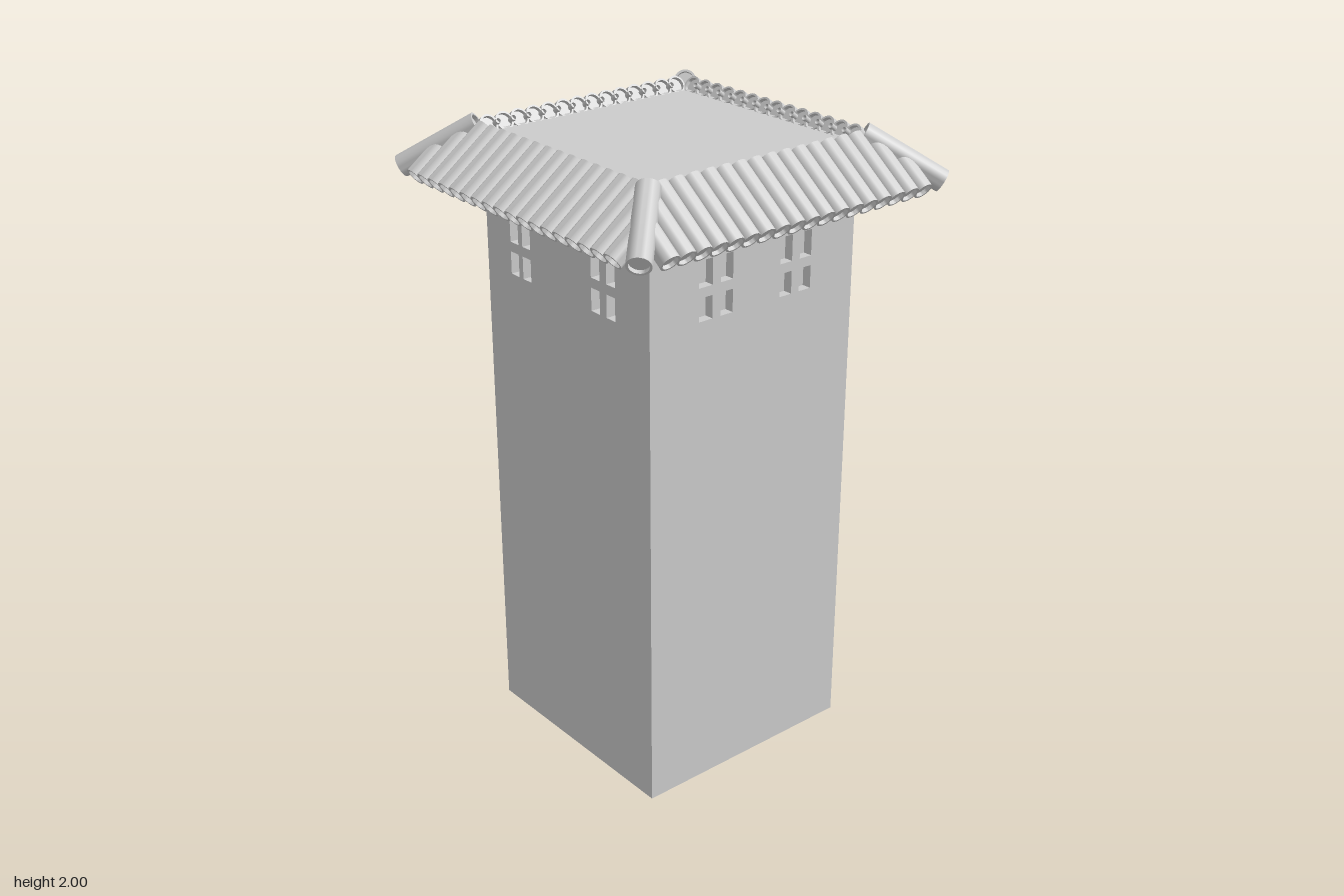
import * as THREE from 'three';
import { toCreasedNormals } from 'three/addons/utils/BufferGeometryUtils.js';

const HALF = 0.385;   // half width of the tower
const WALL = 0.03;    // wall thickness, also the depth of the windows
const SOFFIT = 1.85;  // height of the underside of the roof

const rect = (C, x0, x1, y0, y1) => new C([
  new THREE.Vector2(x0, y0), new THREE.Vector2(x1, y0),
  new THREE.Vector2(x1, y1), new THREE.Vector2(x0, y1)]);

// Plate with rectangular holes
function plate(outline, holes, depth) {
  const shape = rect(THREE.Shape, ...outline);
  shape.holes = holes.map((h) => rect(THREE.Path, ...h));
  return new THREE.ExtrudeGeometry(shape, { depth, bevelEnabled: false });
}

// Round tile with a rim and a recessed end, lying between two points
function tube(a, b, r) {
  const L = a.distanceTo(b), i = r * 0.8, d = 0.012;
  const profile = [[0, d], [i, d], [i, 0], [r, 0], [r, L], [i, L], [i, L - d], [0, L - d]]
    .map(([x, y]) => new THREE.Vector2(x, y));
  const g = toCreasedNormals(new THREE.LatheGeometry(profile, 20), 0.7);
  const dir = b.clone().sub(a).normalize();
  g.applyQuaternion(new THREE.Quaternion().setFromUnitVectors(new THREE.Vector3(0, 1, 0), dir));
  return g.translate(a.x, a.y, a.z);
}

export function createModel() {
  const model = new THREE.Group();
  model.name = 'tiledTower';
  const stone = new THREE.MeshStandardMaterial({ color: 0xcccccc });
  stone.name = 'light grey';
  stone.side = THREE.DoubleSide;
  const add = (parent, name, geometry) => {
    const mesh = new THREE.Mesh(geometry, stone);
    mesh.name = name;
    parent.add(mesh);
    return mesh;
  };

  // Solid core behind the window recesses
  const inner = HALF - WALL;
  add(model, 'core', new THREE.BoxGeometry(2 * inner, SOFFIT - 0.02, 2 * inner)
    .translate(0, (SOFFIT + 0.02) / 2, 0));

  // Base with a small square recess
  add(model, 'base', plate([-inner, inner, -inner, inner], [[-0.265, -0.165, -0.21, -0.11]], 0.02)
    .rotateX(Math.PI / 2).translate(0, 0.02, 0));

  // Walls, each with two windows of four panes
  const rows = [[1.54, 1.61], [1.64, 1.72]];
  const frontPanes = [[-0.265, -0.225], [-0.205, -0.165], [0.125, 0.165], [0.195, 0.235]];
  const sidePanes = [[-0.21, -0.16], [-0.13, -0.085], [0.095, 0.14], [0.17, 0.215]];
  const mirrored = (panes) => panes.map(([a, b]) => [-b, -a]);
  [
    ['frontWall', frontPanes, HALF], ['rightWall', sidePanes, inner],
    ['backWall', mirrored(frontPanes), HALF], ['leftWall', mirrored(sidePanes), inner],
  ].forEach(([name, panes, w], i) => {
    const holes = panes.flatMap((p) => rows.map((r) => [...p, ...r]));
    const wall = plate([-w, w, 0, SOFFIT + 0.01], holes, WALL).translate(0, 0, inner);
    add(model, name, wall.rotateY(i * Math.PI / 2));
  });

  // Roof body: flat deck, sloping sides, flat soffit
  const roof = new THREE.Group();
  roof.name = 'roof';
  model.add(roof);
  const frustum = new THREE.CylinderGeometry(0.41 * Math.SQRT2, 0.545 * Math.SQRT2, 0.095, 4, 1);
  add(roof, 'roofBody', toCreasedNormals(frustum, 0.3)
    .rotateY(Math.PI / 4).translate(0, SOFFIT + 0.0475, 0));

  // Four slopes of round tiles with thin joint rods between, and four corner ridges
  const step = 0.055;
  const slopeY = (d) => 1.825 + (0.575 - d) * 0.75;
  const point = (x, d, lift = 0) => new THREE.Vector3(x, slopeY(d) + lift, d);
  for (let i = 0; i < 4; i++) {
    const slope = new THREE.Group();
    slope.name = 'roofSlope';
    slope.rotation.y = i * Math.PI / 2;
    roof.add(slope);
    for (let k = 0; k < 18; k++) {
      const x = (k - 8.5) * step;
      add(slope, 'tile', tube(point(x, 0.573), point(x, Math.max(0.39, Math.abs(x))), 0.03));
    }
    for (let k = -6; k <= 6; k++) {
      add(slope, 'jointRod', tube(point(k * step, 0.56), point(k * step, 0.382), 0.009));
    }
    add(slope, 'cornerRidge', tube(new THREE.Vector3(0.56, 1.836, 0.56),
      new THREE.Vector3(0.395, 1.97, 0.395), 0.035));
  }
  return model;
}
